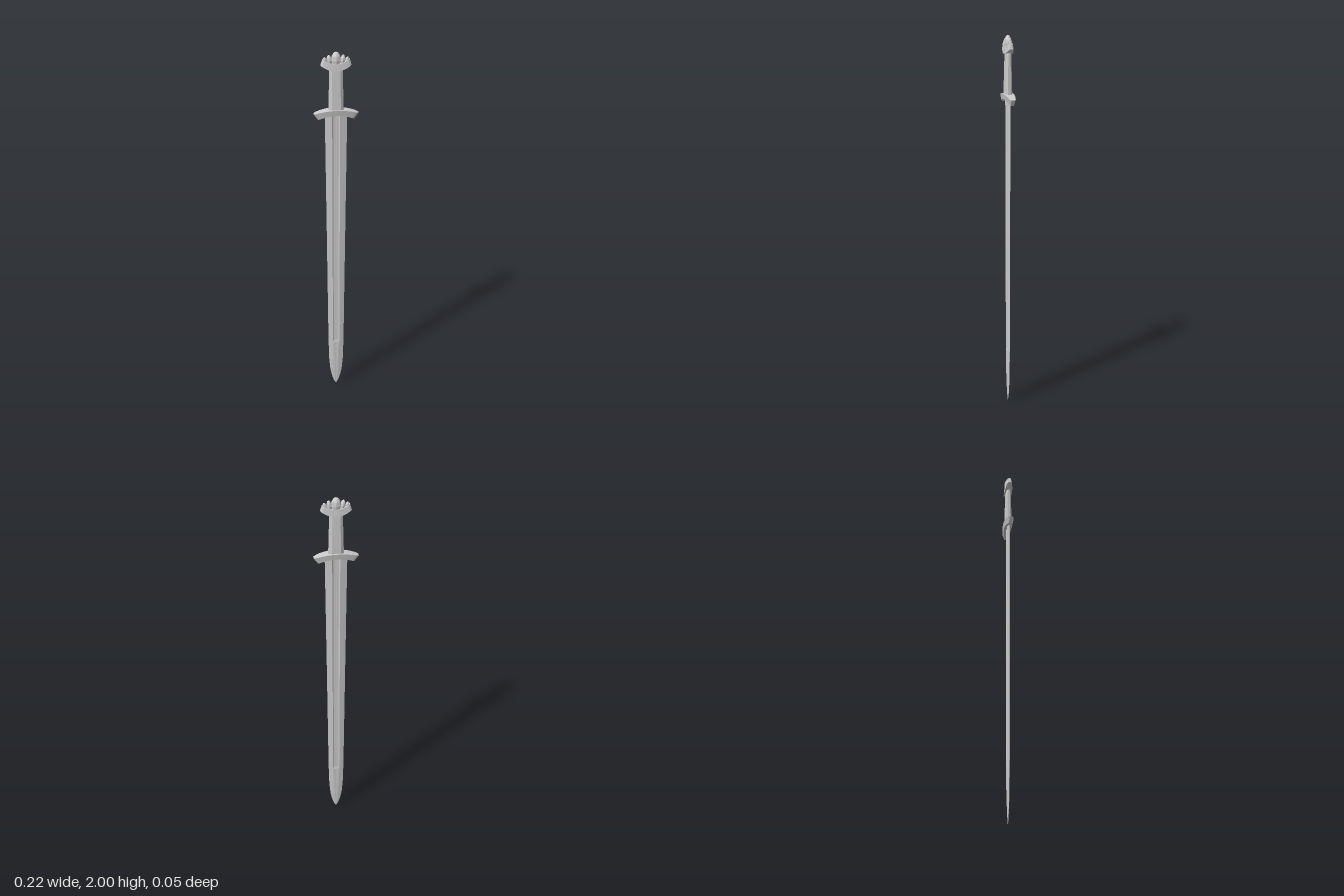
import * as THREE from 'three';

const material = new THREE.MeshStandardMaterial({ color: 0xcccccc, flatShading: true });

// Skins a list of equal-sized rings of [x, y, z] and closes both ends.
function loft(name, rings) {
  const n = rings[0].length, pos = rings.flat(2), idx = [];
  for (let r = 0; r < rings.length - 1; r++) {
    for (let i = 0; i < n; i++) {
      const a = r * n + i, b = r * n + (i + 1) % n;
      idx.push(a, a + n, b, b, a + n, b + n);
    }
  }
  const last = rings.length - 1;
  [0, last].forEach((r) => {
    const c = pos.length / 3;
    for (let k = 0; k < 3; k++) pos.push(rings[r].reduce((s, p) => s + p[k], 0) / n);
    for (let i = 0; i < n; i++) {
      const a = r * n + i, b = r * n + (i + 1) % n;
      if (r === 0) idx.push(c, a, b);
      else idx.push(c, b, a);
    }
  });
  const geo = new THREE.BufferGeometry();
  geo.setAttribute('position', new THREE.Float32BufferAttribute(pos, 3));
  geo.setIndex(idx);
  const flat = geo.toNonIndexed();
  flat.computeVertexNormals();
  const mesh = new THREE.Mesh(flat, material);
  mesh.name = name;
  return mesh;
}

// Blade section: sharp edges, two shoulders and a hollow centre on each face.
function bladeRing([y, w, fuller, shoulder, centre]) {
  return [
    [w, y, 0], [fuller, y, shoulder], [fuller * 0.7, y, centre], [0, y, centre * 0.9],
    [-fuller * 0.7, y, centre], [-fuller, y, shoulder],
    [-w, y, 0], [-fuller, y, -shoulder], [-fuller * 0.7, y, -centre], [0, y, -centre * 0.9],
    [fuller * 0.7, y, -centre], [fuller, y, -shoulder],
  ];
}

// Octagonal grip section.
function gripRing([y, rx, rz]) {
  const c = [[1, 0.45], [0.6, 1], [-0.6, 1], [-1, 0.45], [-1, -0.45], [-0.6, -1], [0.6, -1], [1, -0.45]];
  return c.map(([x, z]) => [x * rx, y, z * rz]);
}

// Curved bar along x; top and bottom give [x, y], depth gives half-depths.
function curvedBar(name, top, bottom, depth) {
  const ts = [-1, -0.9, -0.7, -0.5, -0.25, 0, 0.25, 0.5, 0.7, 0.9, 1];
  return loft(name, ts.map((t) => {
    const [tx, ty] = top(t), [bx, by] = bottom(t), [tz, bz] = depth(Math.abs(t));
    return [[bx, by, bz], [tx, ty, tz], [tx, ty, -tz], [bx, by, -bz]];
  }));
}

export function createModel() {
  const sword = new THREE.Group();
  sword.name = 'sword';

  // Blade, from tip to guard
  sword.add(loft('blade', [
    [0.003, 0.001, 0.0004, 0.0008, 0.0008],
    [0.025, 0.013, 0.005, 0.002, 0.002],
    [0.06, 0.024, 0.009, 0.003, 0.0032],
    [0.11, 0.033, 0.013, 0.0045, 0.0048],
    [0.18, 0.039, 0.016, 0.006, 0.0064],
    [0.295, 0.042, 0.018, 0.007, 0.0072],
    [0.31, 0.0425, 0.018, 0.007, 0.004],
    [1.0, 0.049, 0.019, 0.0075, 0.004],
    [1.69, 0.056, 0.02, 0.008, 0.004],
  ].map(bladeRing)));

  // Guard, drooping toward the blade at its ends
  sword.add(curvedBar('guard',
    (t) => [0.111 * t, 1.706 - 0.021 * t * t],
    (t) => [0.09 * t, 1.676 - 0.022 * t * t],
    (a) => {
      const z = a === 1 ? 0.009 : 0.026 - 0.012 * a * a;
      return [z, z * 0.8];
    }));

  // Grip, tapering toward the pommel
  sword.add(loft('grip', [
    [1.69, 0.038, 0.018], [1.8, 0.035, 0.0155], [1.92, 0.032, 0.0125],
  ].map(gripRing)));

  // Pommel base, turned up at its ends
  const pommel = new THREE.Group();
  pommel.name = 'pommel';
  pommel.add(curvedBar('pommelBase',
    (t) => [0.066 * t, 1.942 + 0.022 * t * t],
    (t) => [0.075 * t, 1.907 + 0.027 * t * t],
    (a) => {
      const z = a === 1 ? 0.007 : 0.022 - 0.011 * a * a;
      return [z * 0.85, z];
    }));

  // Pommel lobes: a large central one flanked by smaller pairs
  const lobe = (name, x, y, rx, ry, rz) => {
    const mesh = new THREE.Mesh(new THREE.SphereGeometry(1, 8, 6), material);
    mesh.name = name;
    mesh.rotation.z = -x * 5;
    mesh.position.set(x, y, 0);
    mesh.scale.set(rx, ry, rz);
    pommel.add(mesh);
  };
  lobe('centreLobe', 0, 1.958, 0.025, 0.042, 0.02);
  for (const s of [-1, 1]) {
    lobe('middleLobe', s * 0.032, 1.957, 0.013, 0.028, 0.015);
    lobe('outerLobe', s * 0.053, 1.957, 0.009, 0.018, 0.009);
  }
  sword.add(pommel);

  return sword;
}
